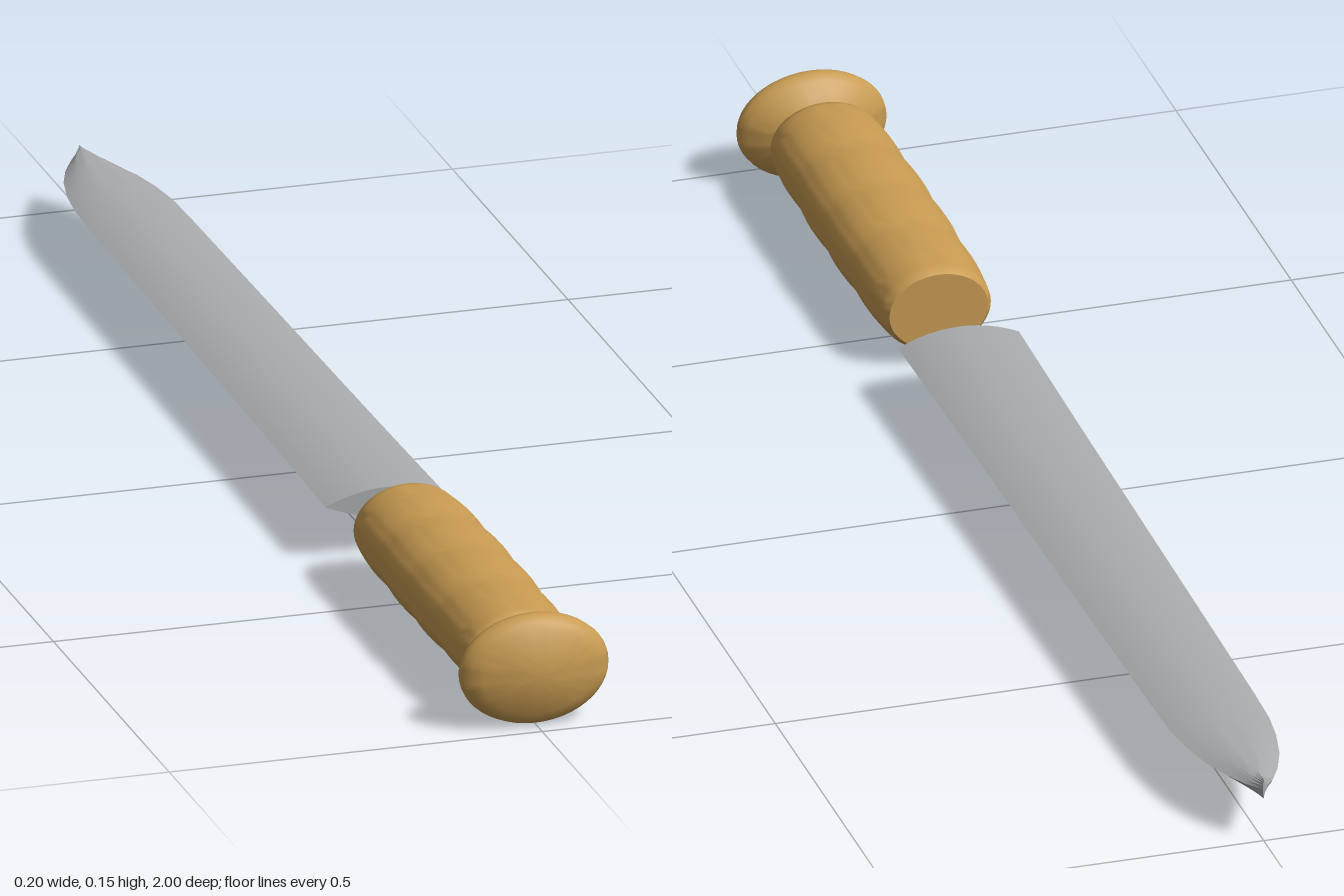
import * as THREE from 'three';
import { toCreasedNormals } from 'three/addons/utils/BufferGeometryUtils.js';

const CENTER_Y = 0.076;

// Oval turned part along z, from [radius, z] pairs in ascending z
function turned(name, profile, squash, material) {
  const points = profile.map(([r, z]) => new THREE.Vector2(r, z));
  const geometry = new THREE.LatheGeometry(points, 48);
  geometry.scale(1, 1, squash);
  geometry.rotateX(Math.PI / 2);
  const mesh = new THREE.Mesh(toCreasedNormals(geometry, 0.7), material);
  mesh.name = name;
  mesh.position.y = CENTER_Y;
  return mesh;
}

// Lens-shaped blade lofted through [z, half width, half thickness] stations
function bladeGeometry() {
  const stations = [
    [0.325, 0.081, 0.019], [0.05, 0.077, 0.015], [-0.4, 0.072, 0.014],
    [-0.74, 0.068, 0.014], [-0.81, 0.066, 0.014], [-0.86, 0.06, 0.014],
    [-0.91, 0.049, 0.014], [-0.95, 0.034, 0.014], [-0.98, 0.018, 0.014],
    [-1.0, 0.001, 0.014],
  ];
  const half = 12, ring = half * 2;
  const positions = [], index = [];
  for (const [z, w, h] of stations) {
    for (let i = 0; i < ring; i++) {
      const u = i < half ? 1 - (2 * i) / half : -1 + (2 * (i - half)) / half;
      const y = h * (1 - u * u) * (i < half ? 1 : -1);
      positions.push(w * u, y, z);
    }
  }
  for (let s = 0; s < stations.length - 1; s++) {
    for (let i = 0; i < ring; i++) {
      const j = (i + 1) % ring;
      const a = s * ring + i, b = s * ring + j;
      index.push(a, a + ring, b, b, a + ring, b + ring);
    }
  }
  // End caps
  const last = (stations.length - 1) * ring;
  for (let i = 1; i < ring - 1; i++) {
    index.push(0, i, i + 1);
    index.push(last, last + i + 1, last + i);
  }
  const geometry = new THREE.BufferGeometry();
  geometry.setAttribute('position', new THREE.Float32BufferAttribute(positions, 3));
  geometry.setIndex(index);
  return toCreasedNormals(geometry, 0.5);
}

export function createModel() {
  const steel = new THREE.MeshStandardMaterial({ color: 0xa9aaac });
  steel.name = 'steel';
  const wood = new THREE.MeshStandardMaterial({ color: 0xc89b52 });
  wood.name = 'wood';

  const model = new THREE.Group();
  model.name = 'sword';

  const blade = new THREE.Mesh(bladeGeometry(), steel);
  blade.name = 'blade';
  blade.position.y = CENTER_Y;
  model.add(blade);

  // Grip: four soft swellings between rounded ends
  const grip = [[0, 0.41], [0.066, 0.41], [0.072, 0.417]];
  for (let i = 0; i <= 32; i++) {
    const t = i / 32;
    const swell = 0.0745 + 0.004 * Math.sin(Math.PI * t);
    grip.push([swell + 0.0028 * Math.abs(Math.sin(4 * Math.PI * t)) - 0.001, 0.428 + 0.472 * t]);
  }
  grip.push([0.071, 0.91], [0.064, 0.916], [0, 0.916]);
  model.add(turned('grip', grip, 0.79, wood));

  // Pommel: flared back, thin rim and shallow domed face
  model.add(turned('pommel', [
    [0, 0.912], [0.022, 0.914], [0.045, 0.922], [0.07, 0.935], [0.09, 0.948], [0.099, 0.957],
    [0.1, 0.964], [0.098, 0.97], [0.09, 0.98],
    [0.075, 0.986], [0.052, 0.993], [0.027, 0.998], [0, 1.0],
  ], 0.745, wood));

  return model;
}
